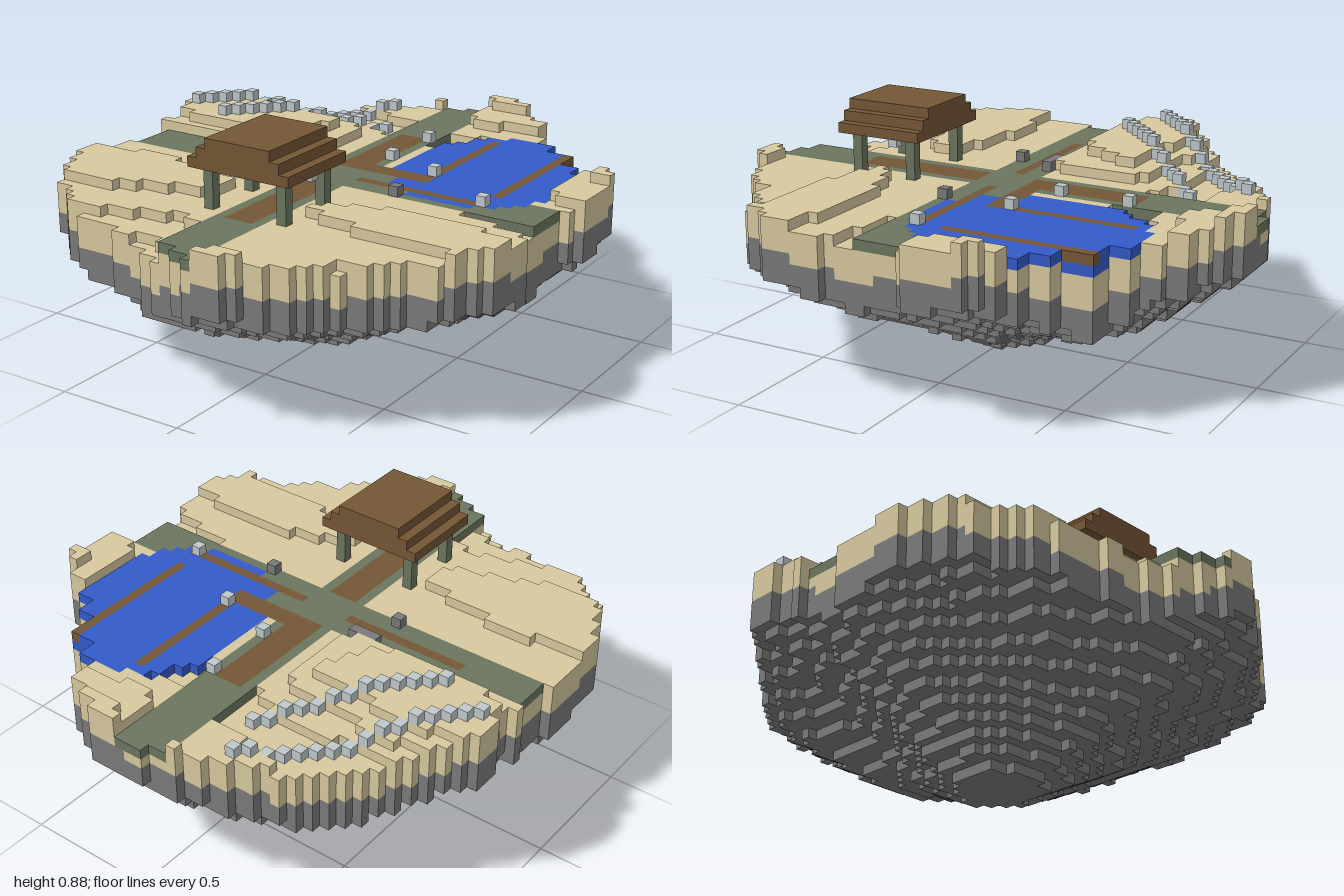
import * as THREE from 'three';

const U = 1 / 26; // edge length of one block

// Island outline: first and last block column for each row, back to front
const FIRST_ROW = -26;
const LEFT = [-1, -4, -6, -8, -10, -12, -13, -14, -15, -16, -17, -18, -19, -20, -21, -22, -23, -24, -24, -24,
  -23, -23, -23, -24, -23, -23, -23, -23, -23, -24, -24, -24, -24, -24, -24, -24, -24, -23, -23, -22,
  -22, -21, -21, -19, -18, -17, -15, -10, -6, -4, -1, 1];
const RIGHT = [5, 7, 8, 10, 10, 11, 11, 13, 13, 16, 16, 16, 18, 18, 20, 22, 23, 24, 24, 24,
  24, 24, 24, 23, 22, 22, 22, 22, 22, 22, 22, 22, 23, 23, 23, 23, 23, 23, 22, 21,
  21, 20, 17, 16, 15, 13, 12, 11, 10, 8, 6, 5];

// Pond outline: row, first and last column
const POND = [[-19, 8, 13], [-18, 6, 13], [-17, 5, 16], [-16, 5, 16], [-15, 4, 16], [-14, 3, 18], [-13, 3, 18],
  [-12, 3, 20], [-11, 3, 20], [-10, 3, 20], [-9, 3, 20], [-8, 3, 20], [-7, 3, 20], [-6, 3, 20], [-5, 3, 20],
  [-4, 3, 20], [-3, 5, 19], [-2, 5, 19], [-1, 5, 18], [0, 5, 17], [1, 8, 15]];

// Rolling ground: heights in blocks on a coarse grid of x columns and z rows
const GRID_X = [-.9, -.6, -.25, -.15, .15, .5, .88];
const GRID_Z = [-1, -.84, -.62, -.36, -.15, -.05, .13, .43, .7, .88, 1];
const HILLS = [
  [17, 17, 17, 17, 18, 18, 17],
  [16, 15.5, 15.9, 16, 17, 17, 16],
  [14.6, 14.6, 15, 15, 15.2, 14, 14],
  [18, 18.2, 17.5, 16, 15.6, 15.5, 17.8],
  [17.4, 18.2, 17.2, 16, 15.6, 15.6, 16.8],
  [16.6, 16.6, 16, 15.8, 15.6, 15.6, 16],
  [15.6, 15.6, 15.8, 15.8, 15.8, 15.6, 15],
  [17.2, 17.4, 16.7, 16.2, 16.5, 17.2, 17.2],
  [16.4, 16, 15.3, 15.5, 15.8, 15.5, 15.8],
  [15.5, 15, 13.9, 14.2, 16.2, 15.4, 15.5],
  [16, 15.5, 14, 14.5, 17.2, 17, 17],
];

// Cell index and fraction of a value within a rising list
function locate(list, v) {
  let i = 0;
  while (i < list.length - 2 && v > list[i + 1]) i++;
  return [i, THREE.MathUtils.clamp((v - list[i]) / (list[i + 1] - list[i]), 0, 1)];
}

function groundHeight(x, z) {
  const { lerp } = THREE.MathUtils;
  const [i, s] = locate(GRID_X, x), [j, t] = locate(GRID_Z, z);
  return lerp(lerp(HILLS[j][i], HILLS[j][i + 1], s), lerp(HILLS[j + 1][i], HILLS[j + 1][i + 1], s), t);
}

function insideOutline(x, z) {
  const row = Math.floor(z / U) - FIRST_ROW, column = Math.floor(x / U);
  return row >= 0 && row < LEFT.length && column >= LEFT[row] && column < RIGHT[row];
}

// Underside height in blocks against the fraction of the way to the rim; it follows the hills above
const REACH = [0, .15, .28, .42, .55, .7, .82, .9, 1];
const UNDERSIDE = [-.5, .2, 2, 4, 5.4, 7, 8.4, 9.3, 10.6];
function undersideHeight(x, z, ground) {
  const dx = x + .08, dz = z - .04, d = Math.hypot(dx, dz) + .001;
  let rim = d;
  while (insideOutline(-.08 + dx / d * rim, .04 + dz / d * rim)) rim += U / 4;
  const [i, t] = locate(REACH, d / rim);
  const base = UNDERSIDE[i] + (UNDERSIDE[i + 1] - UNDERSIDE[i]) * t;
  return Math.max(0, Math.round(base + (ground - 16) * Math.min(1, d / .4)));
}

// Outward faces of a block: direction and its four corners
const FACES = [
  [[1, 0, 0], [[1, 0, 1], [1, 0, 0], [1, 1, 0], [1, 1, 1]]],
  [[-1, 0, 0], [[0, 0, 0], [0, 0, 1], [0, 1, 1], [0, 1, 0]]],
  [[0, 1, 0], [[0, 1, 1], [1, 1, 1], [1, 1, 0], [0, 1, 0]]],
  [[0, -1, 0], [[0, 0, 0], [1, 0, 0], [1, 0, 1], [0, 0, 1]]],
  [[0, 0, 1], [[0, 0, 1], [1, 0, 1], [1, 1, 1], [0, 1, 1]]],
  [[0, 0, -1], [[1, 0, 0], [0, 0, 0], [0, 1, 0], [1, 1, 0]]],
];

export function createModel() {
  const blocks = new Map();
  const key = (x, y, z) => ((x + 40) * 100 + y + 20) * 100 + z + 40;
  // Fill a box of blocks; the end coordinates are exclusive
  function fill(part, x0, x1, y0, y1, z0, z1) {
    for (let x = x0; x < x1; x++) for (let y = y0; y < y1; y++) for (let z = z0; z < z1; z++)
      blocks.set(key(x, y, z), { part, x, y, z });
  }

  // Ground: stone underside, sand on top, crossing paths and pond
  const heights = new Map();
  LEFT.forEach((left, row) => {
    const z = FIRST_ROW + row;
    const pond = POND.find(p => p[0] === z);
    for (let x = left; x < RIGHT[row]; x++) {
      const cx = (x + .5) * U, cz = (z + .5) * U;
      const inPond = pond && x >= pond[1] && x < pond[2];
      const onPath = !inPond && ((x >= -3 && x < 2) || (z >= -2 && z < 3));
      const ground = groundHeight(cx, cz), natural = Math.round(ground);
      const top = inPond ? Math.min(natural, 15) : onPath ? 15 : natural;
      const sandBase = natural - 3;
      const bottom = Math.min(undersideHeight(cx, cz, ground), sandBase - 1);
      fill('stoneUnderside', x, x + 1, bottom, sandBase, z, z + 1);
      fill('sandGround', x, x + 1, sandBase, top, z, z + 1);
      if (inPond) fill('pondWater', x, x + 1, top, 16, z, z + 1);
      if (onPath) fill('path', x, x + 1, 15, 16, z, z + 1);
      heights.set(key(x, 0, z), top);
    }
  });

  // Wooden decks and beams, level with the paths
  const decks = [[-2, 1, -14, -2], [-2, 8, -4, -2], [-2, 1, 3, 16]];
  const beams = [[-16, -3, 0, 1], [2, 15, 0, 1], [7, 8, -17, -4], [15, 16, -17, -2]];
  for (const [x0, x1, z0, z1] of decks) fill('deck', x0, x1, 15, 16, z0, z1);
  for (const [x0, x1, z0, z1] of beams) fill('beam', x0, x1, 15, 16, z0, z1);

  // Two diagonal rows of stones over the back left hill
  for (const [x, z, count] of [[-8, -22, 16], [-6, -17, 13]])
    for (let i = 0; i < count; i++) {
      const top = heights.get(key(x - i, 0, z + i));
      if (top !== undefined) fill('stoneRow', x - i, x - i + 1, top, top + 1, z + i, z + i + 1);
    }

  // Lanterns, and low dark blocks beside the path
  for (const [x, y, z] of [[1, 16, -14], [1, 16, -7], [7, 16, -5], [15, 16, 0], [3, 19, 10]])
    fill('lantern', x, x + 1, y, y + 1, z, z + 1);
  for (const [x0, x1, z] of [[-8, -5, -2], [-8, -7, 2], [7, 8, 2]])
    fill('kerbBlock', x0, x1, 16, 17, z, z + 1);

  // Pavilion: four posts and a stepped roof
  for (const x of [-5, 3]) for (const z of [8, 14]) fill('pavilionPost', x, x + 1, 15, 20, z, z + 1);
  for (let i = 0; i < 3; i++) fill('pavilionRoof', -6 + i, 5 - i, 20 + i, 21 + i, 7, 16);

  const mat = (name, color) => Object.assign(new THREE.MeshStandardMaterial({ color }), { name });
  const sand = mat('sand', 0xd7c99f), rock = mat('rock', 0x7a7a7a), moss = mat('mossGreen', 0x6b755f);
  const wood = mat('wood', 0x745636), water = mat('water', 0x335ac8), pale = mat('paleStone', 0xbfc8cb);
  const materials = {
    stoneUnderside: rock, sandGround: sand, path: moss, pondWater: water, deck: wood, beam: wood,
    stoneRow: pale, lantern: pale, kerbBlock: rock, pavilionPost: moss, pavilionRoof: wood,
  };

  // One mesh per part, keeping only the exposed block faces
  const group = new THREE.Group();
  group.name = 'floatingIsland';
  for (const [part, material] of Object.entries(materials)) {
    const positions = [], normals = [], index = [];
    for (const b of blocks.values()) {
      if (b.part !== part) continue;
      for (const [n, corners] of FACES) {
        if (blocks.has(key(b.x + n[0], b.y + n[1], b.z + n[2]))) continue;
        const s = positions.length / 3;
        for (const c of corners) {
          positions.push((b.x + c[0]) * U, (b.y + c[1]) * U, (b.z + c[2]) * U);
          normals.push(...n);
        }
        index.push(s, s + 1, s + 2, s, s + 2, s + 3);
      }
    }
    const geometry = new THREE.BufferGeometry();
    geometry.setAttribute('position', new THREE.Float32BufferAttribute(positions, 3));
    geometry.setAttribute('normal', new THREE.Float32BufferAttribute(normals, 3));
    geometry.setIndex(index);
    const mesh = new THREE.Mesh(geometry, material);
    mesh.name = part;
    group.add(mesh);
  }
  return group;
}
